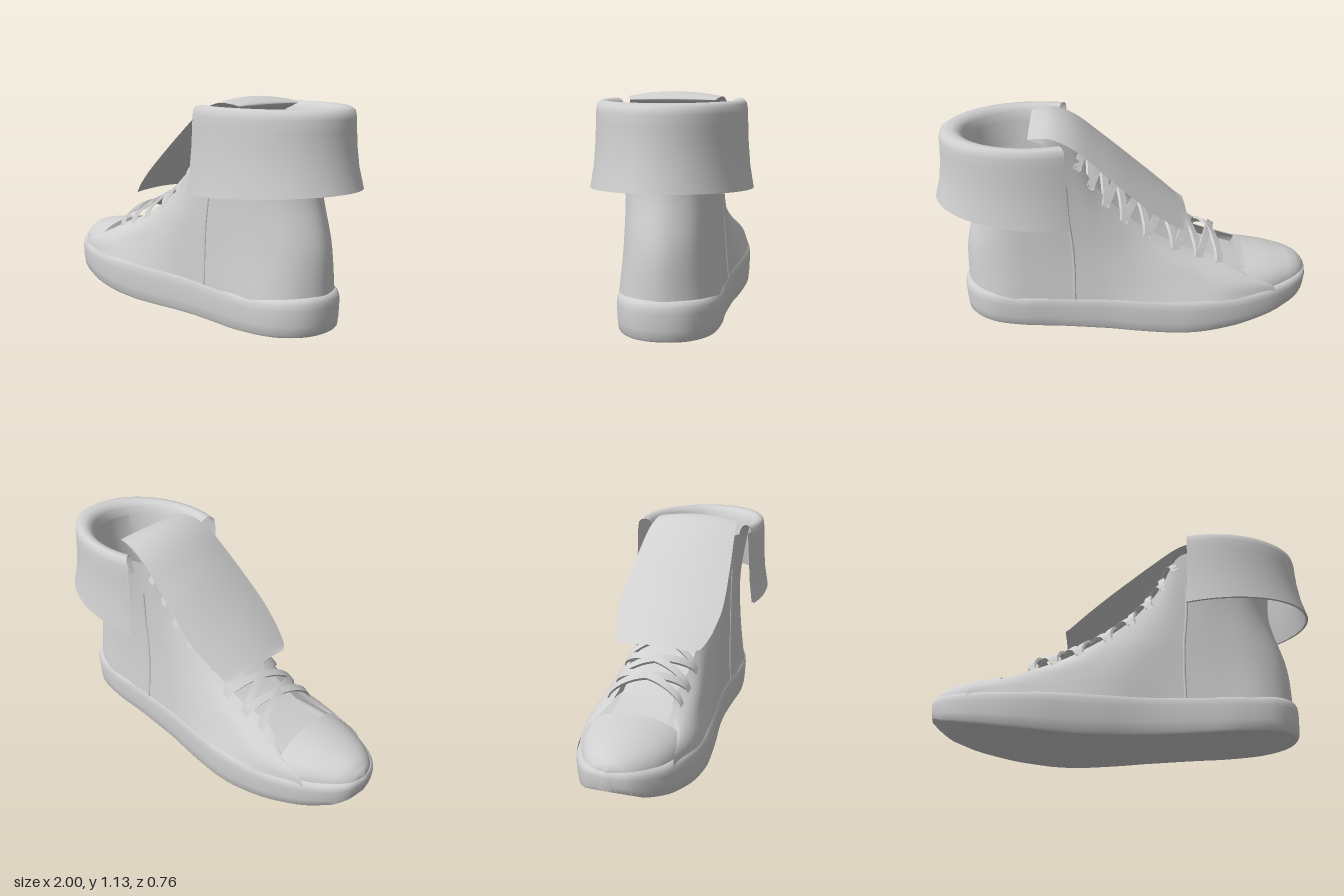
import * as THREE from 'three';
import { toCreasedNormals } from 'three/addons/utils/BufferGeometryUtils.js';

const V = (x, y, z) => new THREE.Vector3(x, y, z);
const spline = (pts) => new THREE.CatmullRomCurve3(pts);
const mirrorZ = (p) => V(p.x, p.y, -p.z);

// Piecewise-linear lookup in [[x, value], ...]
function lookup(table, x) {
  if (x <= table[0][0]) return table[0][1];
  for (let i = 1; i < table.length; i++) {
    const [x0, a] = table[i - 1], [x1, b] = table[i];
    if (x <= x1) return a + (b - a) * (x - x0) / (x1 - x0);
  }
  return table[table.length - 1][1];
}

// Sideways curve of the foot, fading out above the sole
const swayTable = [[-1, 0.004], [-0.85, 0.012], [-0.6, 0.002], [-0.3, -0.014], [0, -0.016], [0.2, -0.012], [0.45, 0]];
function swayed(x, y, z) {
  const fade = THREE.MathUtils.clamp(1 - (y - 0.2) / 0.3, 0, 1);
  return V(x, y, z + lookup(swayTable, x) * fade);
}

// Skin a surface over rows of equally many points
function loft(rows, crease = 0.7) {
  const n = rows[0].length, pos = [], idx = [];
  rows.forEach((r) => r.forEach((p) => pos.push(p.x, p.y, p.z)));
  for (let i = 0; i < rows.length - 1; i++) {
    for (let j = 0; j < n - 1; j++) {
      const a = i * n + j, b = a + n;
      idx.push(a, b, a + 1, b, b + 1, a + 1);
    }
  }
  const g = new THREE.BufferGeometry();
  g.setAttribute('position', new THREE.Float32BufferAttribute(pos, 3));
  g.setIndex(idx);
  return toCreasedNormals(g, crease);
}

// Half plan of the sole from toe to heel, [x, z]
const plan = [[-1, 0], [-0.97, 0.11], [-0.85, 0.215], [-0.65, 0.29], [-0.42, 0.317], [-0.15, 0.295],
  [0.1, 0.26], [0.35, 0.25], [0.58, 0.25], [0.76, 0.212], [0.865, 0.12], [0.895, 0]].map(([x, z]) => V(x, 0, z));
const outline = spline([...plan, ...plan.slice(0, -1).reverse().map(mirrorZ)]);
const planSpan = 2 * (plan.length - 1);

const soleBottom = [[-1, 0.14], [-0.93, 0.098], [-0.8, 0.063], [-0.6, 0.03], [-0.4, 0.008], [-0.25, 0],
  [0, 0.006], [0.5, 0.03], [0.9, 0.055]];
const soleTop = [[-1, 0.245], [-0.85, 0.225], [-0.6, 0.212], [0.6, 0.215], [0.9, 0.24]];

function soleGeometry() {
  // [height fraction, inset, z scale]
  const profile = [[0, 0.018, 0], [0, 0.018, 0.5], [0, 0.016, 1], [0.06, 0.008, 1], [0.3, 0.003, 1], [0.7, 0, 1],
    [0.85, 0.003, 1], [0.95, 0.012, 1], [1, 0.028, 1], [1, 0.06, 1], [1, 0.06, 0]];
  return loft(profile.map(([f, inset, sz]) => {
    const row = [];
    for (let i = 0; i <= 120; i++) {
      const p = outline.getPoint(i / 120);
      const lo = lookup(soleBottom, p.x), hi = lookup(soleTop, p.x);
      row.push(swayed(p.x * (1 - inset), lo + (hi - lo) * f, p.z * (1 - inset * 3) * sz));
    }
    return row;
  }));
}

// Toe cap: arched sections ending in a thick lip
function toeCapGeometry() {
  const heights = [[-0.992, 0.24], [-0.975, 0.27], [-0.94, 0.3], [-0.9, 0.317], [-0.77, 0.344], [-0.63, 0.363]];
  const section = (x, w, h) => {
    const row = [];
    for (let j = 0; j <= 28; j++) {
      const a = Math.PI * j / 28;
      row.push(swayed(x, 0.2 + (h - 0.2) * Math.pow(Math.sin(a), 0.85), w * Math.cos(a)));
    }
    return row;
  };
  const rows = [];
  for (let i = 0; i <= 24; i++) {
    const p = outline.getPoint(3.05 * i / 24 / planSpan);
    const inset = 0.008 + 0.022 * i / 24;
    rows.push(section(p.x + 0.008, Math.max(0, p.z - inset), lookup(heights, p.x + 0.008)));
  }
  rows.push(section(-0.615, 0.245, 0.305));
  return loft(rows);
}

// Upper: four guide lines (sole, low, high, edge) from throat to heel
const guides = [
  [[-0.79, 0.2, 0.24], [-0.55, 0.2, 0.298], [-0.35, 0.2, 0.303], [-0.1, 0.2, 0.28], [0.1, 0.2, 0.252],
    [0.25, 0.2, 0.245], [0.45, 0.2, 0.243], [0.68, 0.2, 0.226], [0.82, 0.2, 0.14], [0.875, 0.2, 0]],
  [[-0.775, 0.235, 0.238], [-0.54, 0.27, 0.275], [-0.34, 0.29, 0.268], [-0.1, 0.34, 0.248], [0.1, 0.4, 0.236],
    [0.25, 0.45, 0.231], [0.45, 0.45, 0.227], [0.67, 0.45, 0.2], [0.805, 0.45, 0.125], [0.862, 0.45, 0]],
  [[-0.73, 0.26, 0.235], [-0.52, 0.33, 0.228], [-0.31, 0.38, 0.228], [-0.06, 0.48, 0.21], [0.13, 0.6, 0.215],
    [0.28, 0.72, 0.222], [0.45, 0.75, 0.224], [0.64, 0.75, 0.195], [0.74, 0.75, 0.12], [0.785, 0.75, 0]],
  [[-0.66, 0.278, 0.23], [-0.5, 0.375, 0.15], [-0.28, 0.46, 0.16], [0, 0.64, 0.165], [0.17, 0.83, 0.18],
    [0.29, 1.03, 0.22], [0.45, 1.03, 0.255], [0.68, 1.03, 0.225], [0.78, 1.03, 0.135], [0.815, 1.03, 0]],
].map((g) => {
  const half = g.map((p) => V(...p));
  return spline([...half, ...half.slice(0, -1).reverse().map(mirrorZ)]);
});
// Point on the upper: k counts guide stations from the toe, v runs up
const upperPoint = (k, v) => spline(guides.map((g) => g.getPoint(k / 18))).getPoint(v);

function upperGeometry() {
  const rows = [];
  for (let i = 0; i <= 108; i++) {
    const row = [];
    for (let j = 0; j <= 16; j++) {
      const p = upperPoint(i / 6, j / 16);
      row.push(swayed(p.x, p.y, p.z));
    }
    rows.push(row);
  }
  return loft(rows, 1);
}

// Sheet along a path of [x, y, half width, sag of the edges]
function sheetGeometry(stations, steps) {
  const path = spline(stations.map(([x, y]) => V(x, y, 0)));
  const size = spline(stations.map(([, , w, s]) => V(w, s, 0)));
  const rows = [];
  for (let i = 0; i <= steps; i++) {
    const p = path.getPoint(i / steps), q = size.getPoint(i / steps), row = [];
    for (let j = 0; j <= 14; j++) {
      const t = j / 7 - 1;
      row.push(V(p.x, p.y - q.y * t * t, q.x * t));
    }
    rows.push(row);
  }
  return loft(rows, 1);
}

// Folded cuff: [x radius, z radius, height, tilt]
function cuffGeometry() {
  const profile = [[0.325, 0.24, 0.9, 0], [0.343, 0.262, 1.02, 0], [0.355, 0.275, 1.07, 0], [0.372, 0.29, 1.092, 0],
    [0.4, 0.31, 1.102, 0], [0.44, 0.333, 1.1, 0], [0.463, 0.345, 1.086, 0], [0.47, 0.35, 1.055, 0],
    [0.472, 0.352, 1, 0], [0.477, 0.355, 0.92, 0.03], [0.492, 0.364, 0.81, 0.06], [0.519, 0.382, 0.704, 0.085],
    [0.506, 0.369, 0.704, 0.085], [0.477, 0.35, 0.82, 0.06], [0.458, 0.338, 0.95, 0], [0.445, 0.328, 1.06, 0]];
  return loft(profile.map(([rx, rz, y, tilt]) => {
    const row = [];
    for (let i = 0; i <= 60; i++) {
      const a = (i / 30 - 1) * 1.93;
      const x = 0.48 + rx * Math.cos(a);
      row.push(V(x, y + tilt * (x - 0.65), rz * Math.sin(a)));
    }
    return row;
  }), 0.9);
}

// Flat lace arching over the tongue from a to b
function laceGeometry(a, b) {
  const along = V(0.016, 0.011, 0), up = V(-0.005, 0.007, 0), rows = [];
  for (let i = 0; i <= 20; i++) {
    const s = i / 20;
    const c = a.clone().lerp(b, s);
    const lift = Math.pow(Math.sin(Math.PI * s), 0.7);
    c.x -= 0.02 * lift;
    c.y += 0.1 * lift;
    c.z *= 1 + 0.12 * lift;
    const corner = (m, n) => c.clone().addScaledVector(along, m).addScaledVector(up, n);
    rows.push([corner(-1, -1), corner(1, -1), corner(1, 1), corner(-1, 1), corner(-1, -1)]);
  }
  return loft(rows);
}

export function createModel() {
  const model = new THREE.Group();
  const grey = new THREE.MeshStandardMaterial({ color: 0xd0d0d0, side: THREE.DoubleSide });
  grey.name = 'light grey';
  const add = (name, geometry, parent = model) => {
    const mesh = new THREE.Mesh(geometry, grey);
    mesh.name = name;
    parent.add(mesh);
  };

  add('sole', soleGeometry());
  add('toeCap', toeCapGeometry());
  add('upper', upperGeometry());
  add('cuff', cuffGeometry());
  add('tongue', sheetGeometry([[-0.66, 0.29, 0.15, 0.01], [-0.4, 0.37, 0.15, 0.01], [-0.1, 0.54, 0.155, 0.015],
    [0.1, 0.72, 0.165, 0.02], [0.28, 0.95, 0.18, 0.02], [0.4, 1.06, 0.19, 0.01], [0.485, 1.09, 0.19, 0]], 40));
  add('tongueFlap', sheetGeometry([[0.485, 1.09, 0.18, 0], [0.495, 1.102, 0.2, 0.004], [0.45, 1.124, 0.217, 0.015],
    [0.38, 1.134, 0.23, 0.025], [0.28, 1.1, 0.245, 0.035], [0.13, 0.98, 0.265, 0.042], [-0.07, 0.8, 0.28, 0.042],
    [-0.2, 0.69, 0.26, 0.04], [-0.28, 0.625, 0.225, 0.035], [-0.315, 0.597, 0.18, 0.012]], 54));

  // Criss-cross laces, one pair per eyelet row
  const laces = new THREE.Group();
  laces.name = 'laces';
  model.add(laces);
  const eyelet = (i) => {
    const p = upperPoint(1.15 + i * 0.52, 0.85 + 0.013 * i);
    p.z += 0.008;
    return p;
  };
  for (let i = 0; i < 7; i++) {
    const a = eyelet(i), b = eyelet(i + 1);
    add('laceLeft', laceGeometry(a, mirrorZ(b)), laces);
    add('laceRight', laceGeometry(mirrorZ(a), b), laces);
  }

  // Slightly raised seams down both sides
  for (const [name, side] of [['leftSeam', 1], ['rightSeam', -1]]) {
    const line = [0, 0.2, 0.4, 0.6, 0.8].map((v) => {
      const p = upperPoint(5.22, v);
      return swayed(p.x, p.y, side * (p.z - 0.002));
    });
    add(name, new THREE.TubeGeometry(spline(line), 30, 0.008, 8));
  }
  return model;
}
